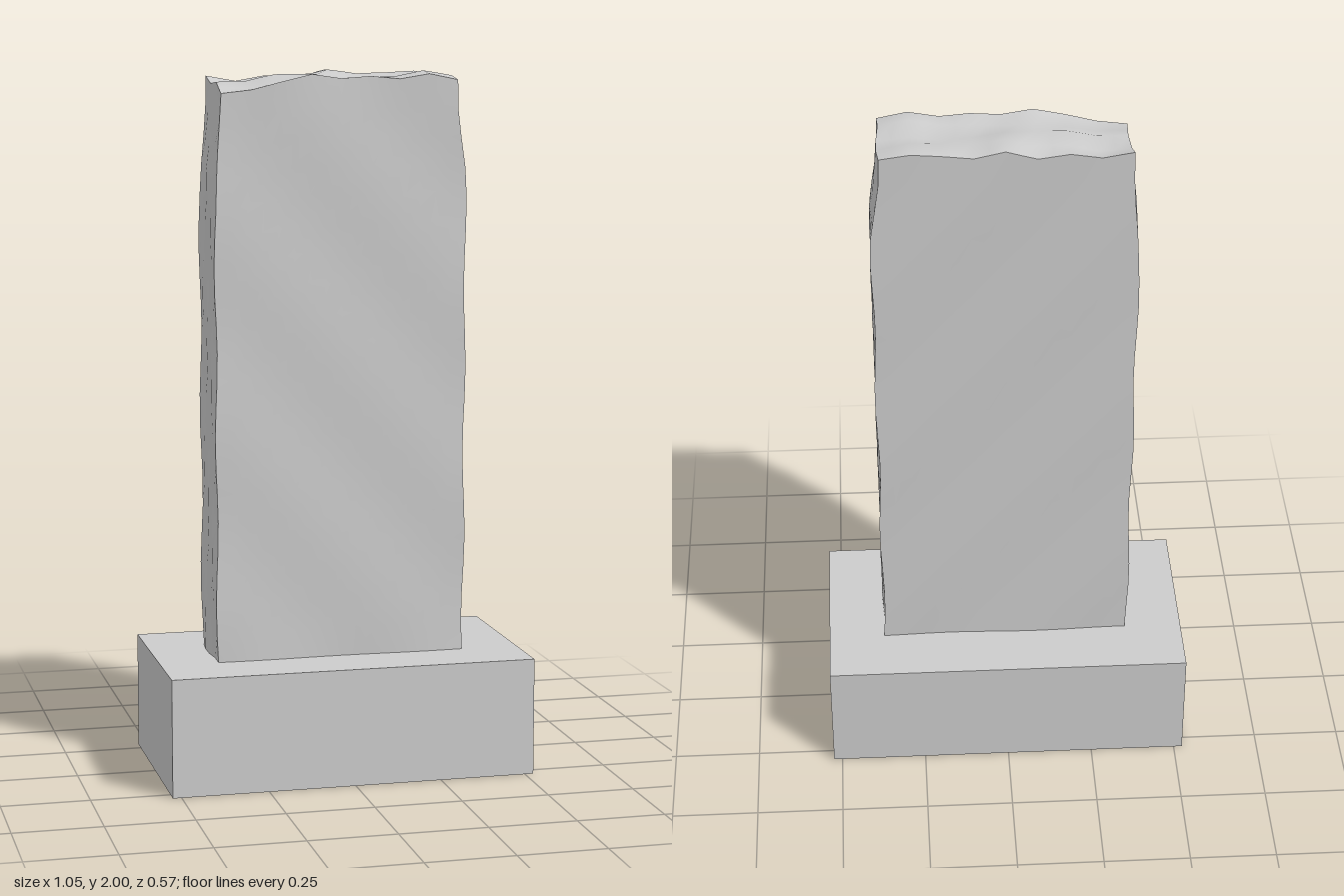
import * as THREE from 'three';

const PLINTH = { w: 1.05, h: 0.337, d: 0.575 };

// Height of the broken top along the front and back rims, from -x to +x
const FRONT_RIM = [1.94, 1.95, 1.972, 1.992, 1.98, 1.986, 1.978, 1.992, 1.975];
const BACK_RIM = [1.985, 1.97, 1.985, 1.975, 2.0, 1.98, 1.988, 1.995, 1.985];

function sample(list, t) {
  const f = THREE.MathUtils.clamp(t, 0, 1) * (list.length - 1);
  const i = Math.min(Math.floor(f), list.length - 2);
  return THREE.MathUtils.lerp(list[i], list[i + 1], f - i);
}

// Rough-hewn slab: a divided box with wavy sides, a tapered head and a broken top
function slabGeometry() {
  const geo = new THREE.BoxGeometry(1, 1, 1, 16, 20, 4);
  const pos = geo.attributes.position;
  for (let i = 0; i < pos.count; i++) {
    const u = pos.getX(i), v = pos.getY(i) + 0.5, w = pos.getZ(i);
    const top = THREE.MathUtils.lerp(
      sample(BACK_RIM, u + 0.5), sample(FRONT_RIM, u + 0.5), w + 0.5
    ) - 0.012 * Math.sin(9 * w + 5 * u) * (1 - 4 * w * w);
    const y = THREE.MathUtils.lerp(PLINTH.h, top, v);
    const taper = 0.024 * THREE.MathUtils.smoothstep(y, 1.68, 1.97);
    const halfX = 0.361 - taper + 0.004 * Math.sin(13 * y + 7 * w + 2 * Math.sign(u));
    const halfZ = 0.115 + 0.003 * Math.sin(11 * y + 9 * u + Math.sign(w));
    pos.setXYZ(i, 2 * u * halfX, y, 2 * w * halfZ);
  }
  geo.computeVertexNormals();
  return geo;
}

export function createModel() {
  const stone = new THREE.MeshStandardMaterial({ color: 0xcccccc });
  stone.name = 'grey stone';

  const group = new THREE.Group();
  group.name = 'standingStone';

  const plinth = new THREE.Mesh(new THREE.BoxGeometry(PLINTH.w, PLINTH.h, PLINTH.d), stone);
  plinth.name = 'plinth';
  plinth.position.y = PLINTH.h / 2;

  const slab = new THREE.Mesh(slabGeometry(), stone);
  slab.name = 'slab';

  group.add(plinth, slab);
  return group;
}
